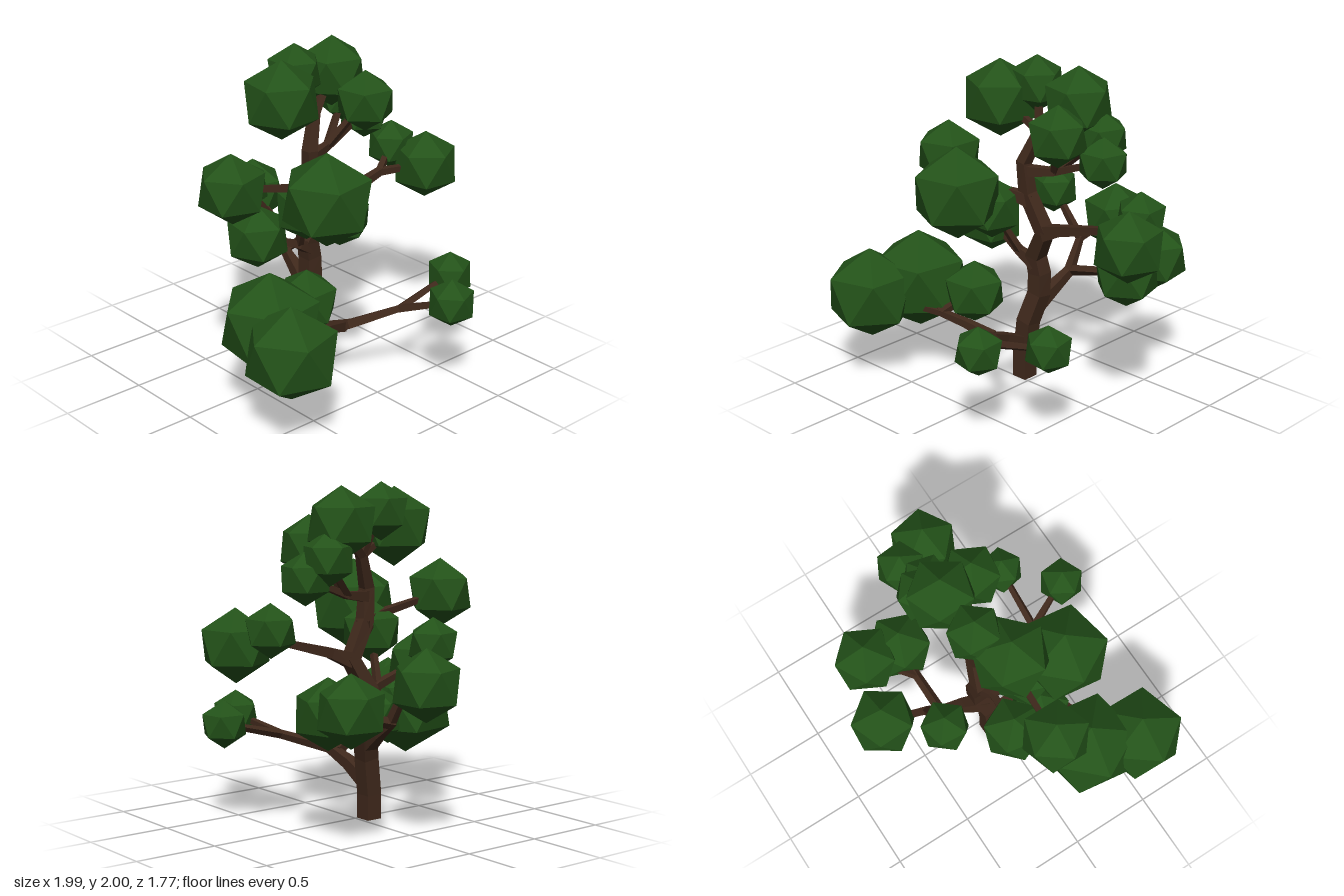
import * as THREE from 'three';

const bark = new THREE.MeshStandardMaterial({ color: 0x40291c, flatShading: true });
const leaf = new THREE.MeshStandardMaterial({ color: 0x235219, flatShading: true });

// Icosahedron standing on a corner, shared by all leaf clumps
const ball = new THREE.IcosahedronGeometry(1, 0);
ball.rotateX(-Math.atan((1 + Math.sqrt(5)) / 2));

// Square-section limb along a path; halfWidth(k) gives its thickness for k from 0 to 1
function limbGeometry(path, halfWidth) {
  const p = path.map((c) => new THREE.Vector3(...c));
  const last = p.length - 1;
  const pos = [], idx = [];
  const side = new THREE.Vector3();
  p.forEach((c, i) => {
    const t = new THREE.Vector3();
    if (i > 0) t.add(c.clone().sub(p[i - 1]).normalize());
    if (i < last) t.add(p[i + 1].clone().sub(c).normalize());
    t.normalize();
    if (i === 0) side.set(...(Math.abs(t.x) > 0.8 ? [0, 1, 0] : [1, 0, 0]));
    side.addScaledVector(t, -side.dot(t)).normalize();
    const up = t.clone().cross(side);
    const r = halfWidth(i / last);
    for (const [a, b] of [[1, 1], [-1, 1], [-1, -1], [1, -1]]) {
      const v = c.clone().addScaledVector(side, a * r).addScaledVector(up, b * r);
      pos.push(v.x, v.y, v.z);
    }
    if (i < last) for (let j = 0; j < 4; j++) {
      const a = i * 4 + j, b = i * 4 + (j + 1) % 4;
      idx.push(a, b, b + 4, a, b + 4, a + 4);
    }
  });
  const e = last * 4;
  idx.push(0, 2, 1, 0, 3, 2, e, e + 1, e + 2, e, e + 2, e + 3);
  const g = new THREE.BufferGeometry();
  g.setAttribute('position', new THREE.Float32BufferAttribute(pos, 3));
  g.setIndex(idx);
  const flat = g.toNonIndexed();
  flat.computeVertexNormals();
  return flat;
}

export function createModel() {
  const tree = new THREE.Group();
  tree.name = 'tree';
  const add = (parent, name, geometry, material) => {
    const mesh = new THREE.Mesh(geometry, material);
    mesh.name = name;
    parent.add(mesh);
    return mesh;
  };

  // Trunk, bending as it climbs and thinning near the top
  const trunkPath = [
    [-0.07, 0, -0.045], [-0.07, 0.15, -0.045], [-0.045, 0.37, -0.05],
    [0, 0.55, -0.095], [0, 0.68, -0.1], [-0.02, 0.79, -0.09],
    [0.08, 0.97, -0.06], [-0.04, 1.19, -0.04], [-0.06, 1.38, -0.03], [0.02, 1.58, -0.08],
  ];
  add(tree, 'trunk', limbGeometry(trunkPath, (k) => 0.051 - 0.025 * k ** 3), bark);

  // A bough follows its path to a fork, then one twig runs into each leaf clump [x, y, z, radius]
  let yaw = 0;
  const bough = (name, width, path, clumps) => {
    const group = new THREE.Group();
    group.name = name + 'Bough';
    tree.add(group);
    const fork = path[path.length - 1];
    clumps.forEach(([x, y, z, r], i) => {
      const route = i === 0 ? [...path, [x, y, z]] : [fork, [x, y, z]];
      const start = i === 0 ? width : 0.02;
      add(group, i === 0 ? 'branch' : 'twig',
        limbGeometry(route, (k) => THREE.MathUtils.lerp(start, 0.014, k ** 0.7)), bark);
      const leaves = add(group, 'leaves', ball, leaf);
      leaves.position.set(x, y, z);
      leaves.scale.setScalar(r);
      leaves.rotation.y = yaw += 2.4;
    });
  };

  // Lowest pair, reaching forward and splitting left and right
  bough('lowLeft', 0.045, [[-0.07, 0.22, -0.03], [-0.06, 0.31, 0.14], [-0.03, 0.38, 0.29], [0.21, 0.465, 0.46]],
    [[0.61, 0.57, 0.475, 0.145], [0.34, 0.565, 0.75, 0.148]]);
  bough('lowRight', 0.03, [[-0.05, 0.36, 0.25], [-0.22, 0.42, 0.31], [-0.37, 0.455, 0.36]],
    [[-0.74, 0.55, 0.59, 0.283], [-0.635, 0.585, 0.29, 0.31], [-0.27, 0.57, 0.18, 0.195]]);

  // Back bough with its riser
  bough('backLeft', 0.045, [[-0.03, 0.45, -0.07], [0, 0.55, -0.22], [0.02, 0.63, -0.35], [0.27, 0.69, -0.36]],
    [[0.47, 0.735, -0.35, 0.208], [0.49, 0.785, -0.58, 0.21]]);
  bough('backRiser', 0.025, [[0.02, 0.62, -0.34], [0.01, 0.81, -0.45]],
    [[0.065, 0.9, -0.71, 0.21], [-0.21, 1.08, -0.45, 0.155]]);

  // Middle boughs
  bough('inner', 0.04, [[-0.01, 0.74, -0.09], [-0.12, 0.8, -0.06]],
    [[-0.4, 0.92, -0.1, 0.195], [-0.2, 1.1, 0.1, 0.19]]);
  bough('midLeft', 0.045, [[0.09, 0.97, -0.06], [0.22, 1.02, -0.05], [0.52, 1.1, -0.05]],
    [[0.81, 1.105, 0.05, 0.213], [0.72, 1.2, -0.16, 0.155]]);
  bough('midRight', 0.04, [[-0.02, 1.15, -0.05], [-0.17, 1.2, 0.04]],
    [[-0.66, 1.31, 0, 0.21], [-0.25, 1.235, 0.33, 0.28]]);

  // Crown
  bough('upperLeft', 0.032, [[-0.04, 1.33, -0.04], [0.13, 1.35, -0.09]],
    [[0.46, 1.47, -0.13, 0.155], [0.37, 1.58, -0.22, 0.16], [0.29, 1.63, 0.06, 0.185]]);
  bough('top', 0.024, [[0.02, 1.57, -0.08]],
    [[0.235, 1.77, -0.17, 0.215], [-0.07, 1.83, -0.15, 0.17], [-0.26, 1.73, -0.04, 0.235]]);
  return tree;
}
